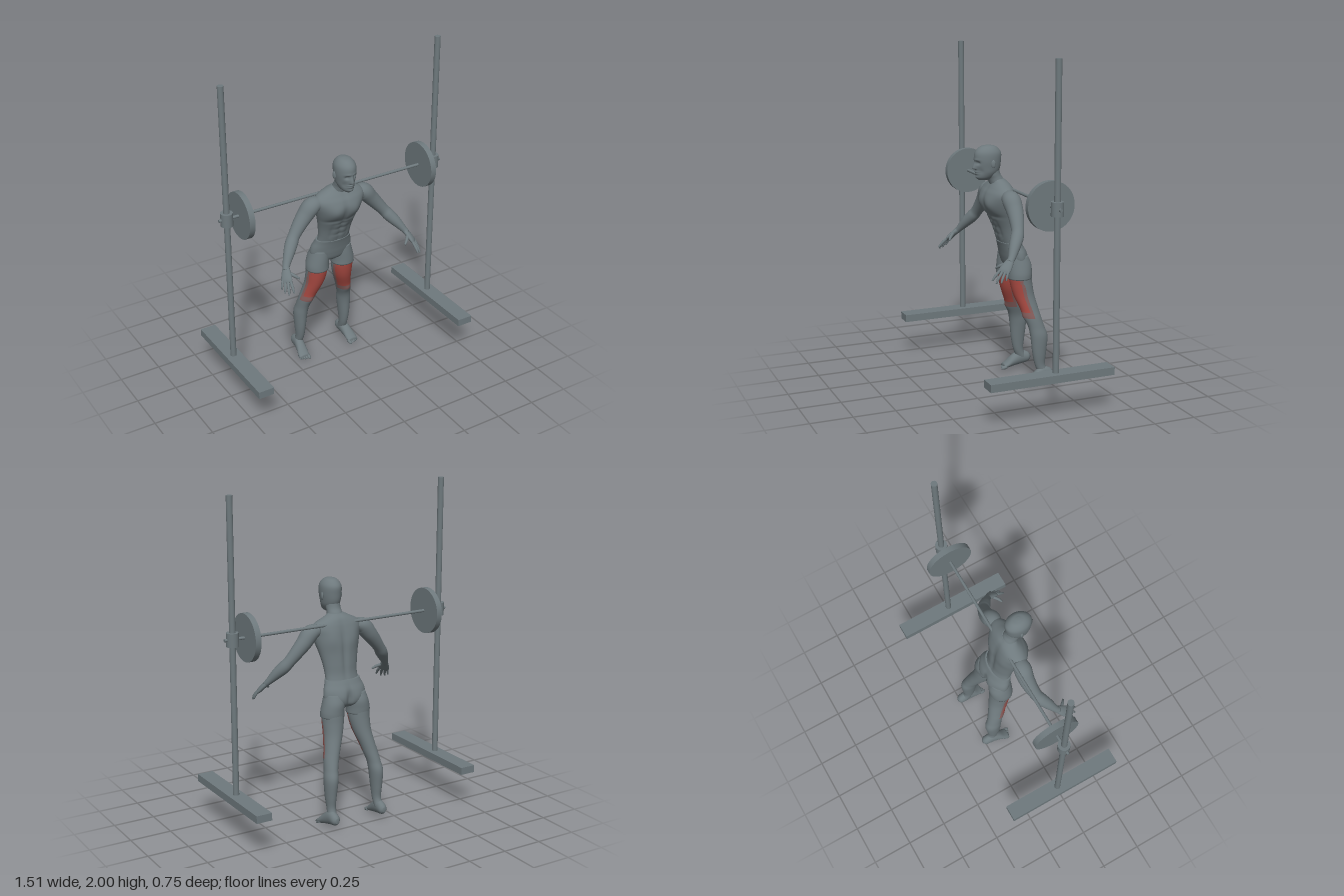
import * as THREE from 'three';

const grey = new THREE.MeshStandardMaterial({ color: 0x6e797d });
grey.name = 'slate grey';
const red = new THREE.MeshStandardMaterial({ color: 0xab4b43 });
red.name = 'muscle red';
const blend = new THREE.MeshStandardMaterial({ color: 0x875f5d });
blend.name = 'faded red';

const V = (x, y, z) => new THREE.Vector3(x, y, z);

// Sweeps smooth elliptical rings along rows of [x, y, z, radiusU, radiusV].
// dir fixes the ring normal, ref sets the U axis, pick chooses a material slot.
function sweep(rows, { segs = 24, steps = 32, dir, ref = V(1, 0, 0), deform, pick } = {}) {
  const path = new THREE.CatmullRomCurve3(rows.map(r => V(r[0], r[1], r[2])), false, 'catmullrom');
  const radii = new THREE.CatmullRomCurve3(rows.map(r => V(r[3], r[4], 0)), false, 'catmullrom');
  const pts = [];
  for (let i = 0; i <= steps; i++) {
    const k = i / steps, c = path.getPoint(k), r = radii.getPoint(k);
    const t = dir || path.getTangent(k);
    const u = ref.clone().addScaledVector(t, -ref.dot(t)).normalize();
    const v = t.clone().cross(u);
    for (let j = 0; j < segs; j++) {
      const a = (j / segs) * Math.PI * 2;
      const p = c.clone().addScaledVector(u, Math.cos(a) * r.x).addScaledVector(v, Math.sin(a) * r.y);
      if (deform) deform(p);
      pts.push(p);
    }
  }
  const first = pts.length;
  pts.push(path.getPoint(0), path.getPoint(1));
  const slots = [[], [], []];
  const face = (a, b, c) => {
    const mid = V(0, 0, 0).add(pts[a]).add(pts[b]).add(pts[c]).divideScalar(3);
    slots[pick ? pick(mid) : 0].push(a, b, c);
  };
  for (let j = 0; j < segs; j++) {
    const n = (j + 1) % segs;
    for (let i = 0; i < steps; i++) {
      const a = i * segs + j, b = i * segs + n;
      face(a, b, b + segs);
      face(a, b + segs, a + segs);
    }
    face(first, n, j);
    face(first + 1, steps * segs + j, steps * segs + n);
  }
  const geo = new THREE.BufferGeometry().setFromPoints(pts);
  geo.setIndex(slots.flat());
  let start = 0;
  if (pick) slots.forEach((s, i) => { geo.addGroup(start, s.length, i); start += s.length; });
  geo.computeVertexNormals();
  return geo;
}

function mirrored(geo) {
  const g = geo.clone().scale(-1, 1, 1), ix = g.index;
  for (let i = 0; i < ix.count; i += 3) {
    const b = ix.getX(i + 1);
    ix.setX(i + 1, ix.getX(i + 2));
    ix.setX(i + 2, b);
  }
  return g;
}

// Rows of [y, half width, front z, back z] turned into sweep rows
const slab = rows => rows.map(([y, w, f, b]) => [0, y, (f + b) / 2, w, (f - b) / 2]);
const bell = (d, w) => Math.exp(-(d * d) / (w * w));

export function createModel() {
  const model = new THREE.Group();
  const UP = V(0, 1, 0);
  const add = (name, geo, x = 0, y = 0, z = 0, mat = grey) => {
    const m = new THREE.Mesh(geo, mat);
    m.name = name;
    m.position.set(x, y, z);
    model.add(m);
  };
  const pair = (name, geo, mat) => {
    add(name + 'Left', geo, 0, 0, 0, mat);
    add(name + 'Right', mirrored(geo), 0, 0, 0, mat);
  };

  // Rack and barbell
  const barY = 1.195, barZ = -0.033;
  for (const s of [-1, 1]) {
    add('rackFoot', new THREE.BoxGeometry(0.097, 0.045, 0.752), s * 0.705, 0.248, 0);
    add('rackPost', new THREE.CylinderGeometry(0.018, 0.018, 1.74, 24), s * 0.705, 1.13, barZ);
    add('slidingCollar', new THREE.CylinderGeometry(0.036, 0.036, 0.08, 24), s * 0.705, barY, barZ);
    add('weightPlate', new THREE.CylinderGeometry(0.14, 0.14, 0.035, 48).rotateZ(Math.PI / 2), s * 0.614, barY, barZ);
  }
  add('bar', new THREE.CylinderGeometry(0.009, 0.009, 1.51, 16).rotateZ(Math.PI / 2), 0, barY, barZ);

  // Torso with chest, abdomen and spine modelling
  add('torso', sweep(slab([
    [0.84, 0.108, 0.0, -0.115], [0.9, 0.105, 0.022, -0.1], [0.96, 0.112, 0.043, -0.095],
    [1.02, 0.125, 0.07, -0.09], [1.08, 0.142, 0.098, -0.085], [1.13, 0.155, 0.11, -0.075],
    [1.17, 0.163, 0.1, -0.065], [1.2, 0.145, 0.08, -0.055], [1.228, 0.09, 0.062, -0.04],
    [1.25, 0.045, 0.055, -0.015],
  ]), {
    segs: 64, steps: 72, dir: UP, deform: p => {
      const x = Math.abs(p.x), y = p.y;
      if (p.z > 0.01) {
        p.z += 0.014 * bell(x - 0.065, 0.045) * bell(y - 1.095, 0.045);
        p.z -= 0.008 * bell(x, 0.012) * bell(y - 1.03, 0.17);
        p.z -= 0.007 * bell(y - 1.035, 0.012) * bell(x - 0.06, 0.05);
        for (const g of [0.92, 0.965, 1.005]) p.z -= 0.004 * bell(y - g, 0.009) * bell(x, 0.045);
        p.z -= 0.005 * bell(x - 0.055, 0.012) * bell(y - 0.95, 0.06);
      } else if (p.z < -0.02) {
        p.z += 0.012 * bell(x, 0.016) * bell(y - 1.03, 0.15);
        p.z -= 0.008 * bell(x - 0.075, 0.04) * bell(y - 1.12, 0.06);
      }
    },
  }));
  add('neck', sweep([
    [0, 1.2, 0.01, 0.06, 0.05], [0, 1.25, 0.032, 0.046, 0.046],
    [0, 1.28, 0.05, 0.044, 0.046], [0, 1.33, 0.065, 0.044, 0.05],
  ], { dir: UP }));

  // Head with brow, eye sockets, nose and lips
  add('head', sweep(slab([
    [1.247, 0.02, 0.138, 0.07], [1.262, 0.037, 0.15, 0.045], [1.29, 0.051, 0.155, 0.018],
    [1.32, 0.057, 0.158, 0.005], [1.36, 0.062, 0.163, 0.0], [1.4, 0.061, 0.161, -0.001],
    [1.425, 0.051, 0.147, 0.013], [1.443, 0.033, 0.122, 0.036], [1.45, 0.01, 0.09, 0.07],
  ]), {
    segs: 64, steps: 72, dir: UP, deform: p => {
      if (p.z < 0.1) return;
      const x = Math.abs(p.x), y = p.y;
      p.z -= 0.013 * bell(x - 0.024, 0.013) * bell(y - 1.35, 0.011);
      p.z += 0.004 * bell(x - 0.02, 0.018) * bell(y - 1.367, 0.007);
      const nose = THREE.MathUtils.clamp((1.36 - y) / 0.04, 0, 1) * THREE.MathUtils.smoothstep(y, 1.306, 1.316);
      p.z += 0.02 * nose * bell(x, 0.011);
      p.z += 0.006 * bell(x, 0.02) * (bell(y - 1.297, 0.005) + bell(y - 1.285, 0.005));
      p.z += 0.005 * bell(x, 0.02) * bell(y - 1.264, 0.009);
      p.z -= 0.006 * bell(x - 0.036, 0.012) * bell(y - 1.3, 0.018);
    },
  }));
  pair('ear', new THREE.SphereGeometry(1, 16, 12).scale(0.007, 0.024, 0.014).rotateY(-0.3).translate(0.062, 1.345, 0.07));

  // Shorts
  add('shortsHips', sweep(slab([
    [0.705, 0.05, -0.05, -0.12], [0.73, 0.125, -0.025, -0.145], [0.77, 0.138, -0.012, -0.15],
    [0.81, 0.134, -0.003, -0.145], [0.845, 0.121, 0.006, -0.128], [0.87, 0.113, 0.014, -0.115],
  ]), {
    segs: 48, dir: UP, deform: p => {
      if (p.z < -0.08) {
        p.z += 0.022 * bell(p.x, 0.014) * bell(p.y - 0.76, 0.06);
        p.z -= 0.009 * bell(Math.abs(p.x) - 0.06, 0.04) * bell(p.y - 0.765, 0.04);
      }
    },
  }));
  pair('shortsLeg', sweep([
    [0.089, 0.655, -0.087, 0.072, 0.071], [0.088, 0.69, -0.088, 0.071, 0.072],
    [0.08, 0.74, -0.088, 0.067, 0.071], [0.072, 0.79, -0.08, 0.06, 0.06],
  ], { segs: 32, steps: 16, dir: UP }));

  // Legs, with the front of each thigh highlighted
  const legRows = [
    [0.164, 0.07, -0.215, 0.027, 0.034], [0.16, 0.125, -0.19, 0.026, 0.032],
    [0.16, 0.2, -0.185, 0.033, 0.043], [0.157, 0.3, -0.184, 0.041, 0.053],
    [0.149, 0.36, -0.17, 0.04, 0.05], [0.135, 0.42, -0.15, 0.045, 0.053],
    [0.121, 0.47, -0.135, 0.048, 0.056], [0.1, 0.55, -0.11, 0.057, 0.063],
    [0.091, 0.62, -0.096, 0.065, 0.067], [0.088, 0.68, -0.09, 0.067, 0.068],
    [0.078, 0.74, -0.09, 0.06, 0.06],
  ];
  pair('leg', sweep(legRows, {
    segs: 40, steps: 80, dir: UP,
    deform: p => {
      if (p.z > -0.13) p.z += 0.006 * bell(p.y - 0.425, 0.025) * bell(p.x - 0.135, 0.022);
    },
    pick: p => {
      if (p.y < 0.42 || p.y > 0.67) return 0;
      const front = p.z + 0.09 + (0.63 - p.y) * 0.29;
      if (front < 0.002) return 0;
      return front < 0.02 || p.y < 0.455 ? 2 : 1;
    },
  }), [grey, red, blend]);

  // Feet and toes
  pair('foot', sweep([
    [0.165, 0.066, -0.27, 0.012, 0.016], [0.165, 0.068, -0.25, 0.027, 0.033],
    [0.167, 0.07, -0.2, 0.03, 0.045], [0.172, 0.052, -0.155, 0.032, 0.036],
    [0.177, 0.031, -0.12, 0.035, 0.023], [0.179, 0.02, -0.095, 0.032, 0.013],
  ], { dir: V(0, 0, 1) }));
  for (let i = 0; i < 5; i++) {
    const r = i ? 0.0075 : 0.0105, x = [0.153, 0.169, 0.182, 0.194, 0.205][i], z = -0.074 - i * 0.005;
    pair('toe', sweep([
      [x - 0.003, 0.02, z - 0.035, r, r], [x, 0.014, z - 0.012, r, r], [x + 0.001, 0.011, z, r * 0.4, r * 0.4],
    ], { segs: 12, steps: 8 }));
  }

  // Arms, palms and spread fingers
  const across = V(-0.55, 0, 0.83);
  pair('arm', sweep([
    [0.13, 1.165, 0.01, 0.042, 0.036], [0.18, 1.148, 0.008, 0.054, 0.05],
    [0.222, 1.1, 0.006, 0.05, 0.047], [0.265, 1.05, 0.012, 0.043, 0.041],
    [0.31, 0.995, 0.025, 0.036, 0.035], [0.337, 0.96, 0.042, 0.038, 0.037],
    [0.37, 0.92, 0.07, 0.033, 0.032], [0.408, 0.868, 0.104, 0.022, 0.02],
    [0.42, 0.848, 0.122, 0.02, 0.017],
  ], { segs: 28, steps: 48, ref: across }));
  pair('palm', sweep([
    [0.413, 0.86, 0.11, 0.02, 0.016], [0.426, 0.835, 0.135, 0.029, 0.016],
    [0.437, 0.81, 0.158, 0.034, 0.014], [0.443, 0.795, 0.17, 0.029, 0.008],
  ], { steps: 16, ref: across }));
  const finger = (name, a, b, c, r) => pair(name, sweep([
    [...a, r, r], [...b, r, r], [...c, r * 0.55, r * 0.55],
  ], { segs: 12, steps: 12, ref: across }));
  finger('indexFinger', [0.424, 0.808, 0.182], [0.428, 0.78, 0.212], [0.43, 0.755, 0.232], 0.0085);
  finger('middleFinger', [0.436, 0.803, 0.172], [0.449, 0.77, 0.202], [0.455, 0.743, 0.218], 0.0085);
  finger('ringFinger', [0.447, 0.803, 0.159], [0.461, 0.77, 0.182], [0.468, 0.746, 0.193], 0.008);
  finger('littleFinger', [0.455, 0.808, 0.144], [0.467, 0.78, 0.158], [0.473, 0.758, 0.165], 0.007);
  finger('thumb', [0.412, 0.84, 0.142], [0.388, 0.824, 0.168], [0.366, 0.808, 0.184], 0.0095);

  return model;
}
